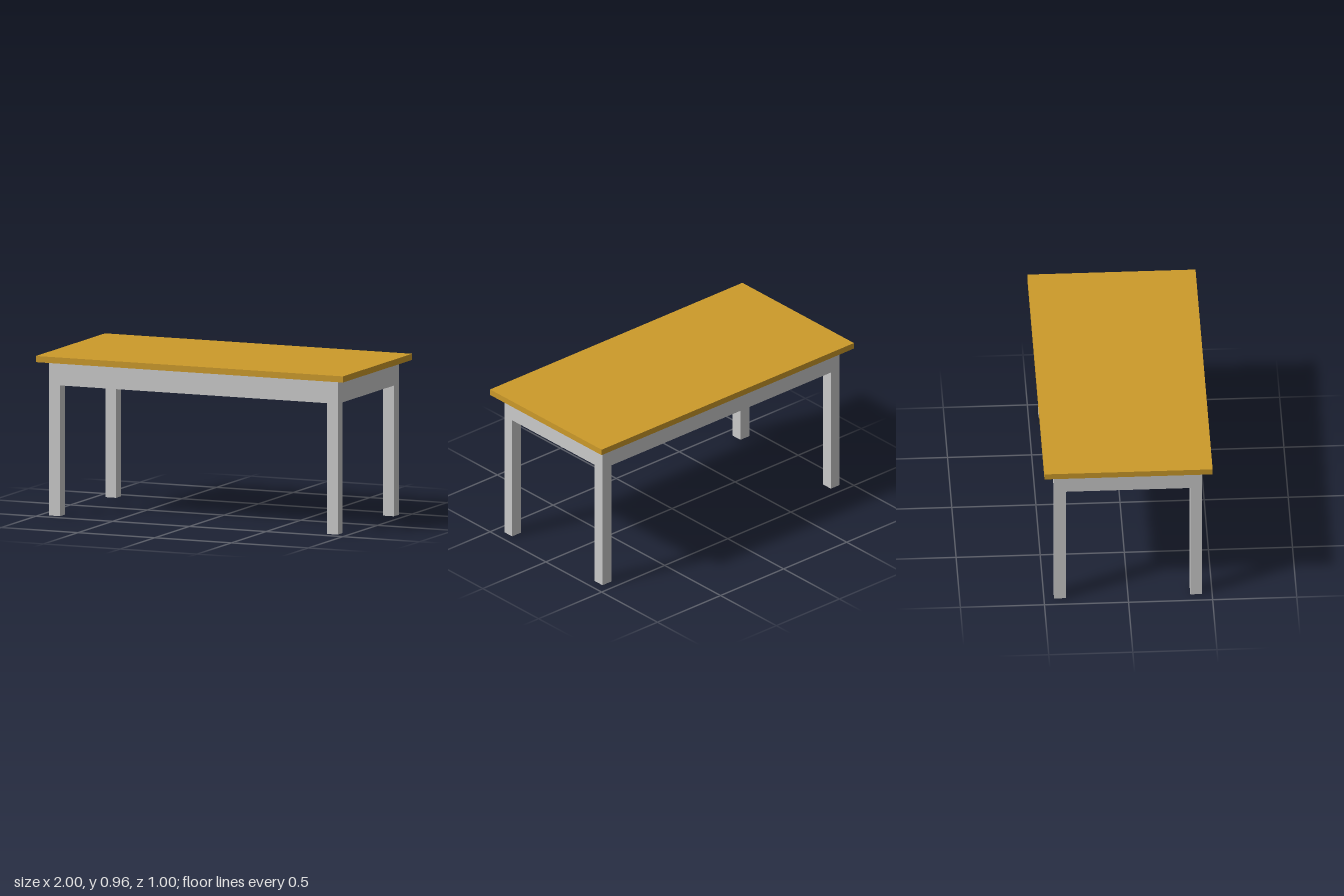
import * as THREE from 'three';

const TOP_Y = 0.962, FRAME_Y = 0.925, APRON_Y = 0.785;
const LEG = 0.07, OUT_X = 0.94, OUT_Z = 0.44, APRON = 0.036;

export function createModel() {
  const table = new THREE.Group();
  table.name = 'table';
  const grey = new THREE.MeshStandardMaterial({ color: 0xcccccc });
  const wood = new THREE.MeshStandardMaterial();
  wood.color.set(0xcc9a2a);

  // Box spanning two opposite corners
  function box(name, material, x0, x1, y0, y1, z0, z1) {
    const mesh = new THREE.Mesh(new THREE.BoxGeometry(x1 - x0, y1 - y0, z1 - z0), material);
    mesh.position.set((x0 + x1) / 2, (y0 + y1) / 2, (z0 + z1) / 2);
    mesh.name = name;
    table.add(mesh);
  }

  box('tabletop', wood, -1, 1, FRAME_Y, TOP_Y, -0.5, 0.5);

  // Square corner legs
  for (const sx of [-1, 1]) {
    for (const sz of [-1, 1]) {
      const name = (sz > 0 ? 'front' : 'back') + (sx > 0 ? 'Left' : 'Right') + 'Leg';
      const x = sx * (OUT_X - LEG / 2), z = sz * (OUT_Z - LEG / 2);
      box(name, grey, x - LEG / 2, x + LEG / 2, 0, FRAME_Y, z - LEG / 2, z + LEG / 2);
    }
  }

  // Aprons between the legs, flush with their outer faces
  const ix = OUT_X - LEG, iz = OUT_Z - LEG;
  box('frontApron', grey, -ix, ix, APRON_Y, FRAME_Y, OUT_Z - APRON, OUT_Z);
  box('backApron', grey, -ix, ix, APRON_Y, FRAME_Y, -OUT_Z, -OUT_Z + APRON);
  box('leftApron', grey, OUT_X - APRON, OUT_X, APRON_Y, FRAME_Y, -iz, iz);
  box('rightApron', grey, -OUT_X, -OUT_X + APRON, APRON_Y, FRAME_Y, -iz, iz);

  return table;
}
